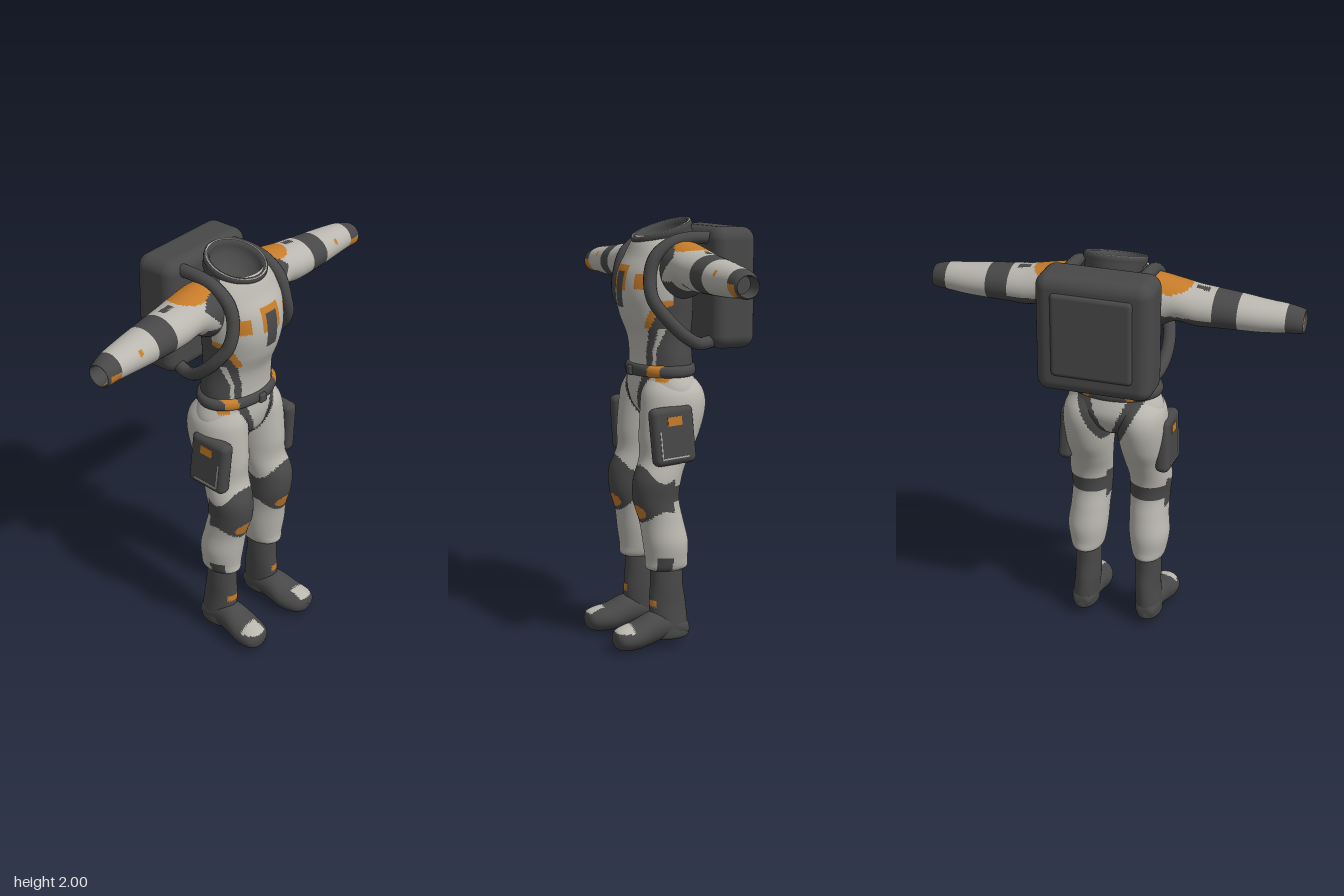
import * as THREE from 'three';
import { RoundedBoxGeometry } from 'three/addons/geometries/RoundedBoxGeometry.js';

const mat = (name, color) => {
  const m = new THREE.MeshStandardMaterial({ color });
  m.name = name;
  return m;
};

// Smooth loft through elliptical sections [t, centre1, centre2, radius1, radius2] along one axis.
function loft(axis, keys, around, steps) {
  const pos = [], idx = [], last = keys.length - 1;
  const key = (i) => keys[Math.min(last, Math.max(0, i))];
  const rows = last * steps;
  for (let i = 0; i <= rows; i++) {
    const k = Math.min(last - 1, Math.floor(i / steps)), u = i / steps - k;
    const [t, c1, c2, r1, r2] = key(k).map((p1, n) => {
      const p0 = key(k - 1)[n], p2 = key(k + 1)[n], p3 = key(k + 2)[n];
      return p1 + 0.5 * u * (p2 - p0 + u * (2 * p0 - 5 * p1 + 4 * p2 - p3 + u * (3 * (p1 - p2) + p3 - p0)));
    });
    for (let j = 0; j < around; j++) {
      const a = (j / around) * Math.PI * 2, c = Math.cos(a), s = Math.sin(a);
      if (axis === 'x') pos.push(t, c1 + r1 * c, c2 + r2 * s);
      if (axis === 'y') pos.push(c1 + r1 * s, t, c2 + r2 * c);
      if (axis === 'z') pos.push(c1 + r1 * c, c2 + r2 * s, t);
      if (i === rows) continue;
      const A = i * around + j, B = i * around + (j + 1) % around;
      idx.push(A, B, A + around, B, B + around, A + around);
    }
  }
  const g = new THREE.BufferGeometry();
  g.setAttribute('position', new THREE.Float32BufferAttribute(pos, 3));
  g.setIndex(idx);
  g.computeVertexNormals();
  return g;
}

// Sort faces into colour groups by a rule on the face centre; -1 leaves an opening.
function paint(g, rule) {
  const p = g.attributes.position, old = g.index.array, sets = [[], [], []];
  for (let i = 0; i < old.length; i += 3) {
    const t = [old[i], old[i + 1], old[i + 2]];
    const mid = (f) => (p[f](t[0]) + p[f](t[1]) + p[f](t[2])) / 3;
    const c = rule(mid('getX'), mid('getY'), mid('getZ'));
    if (c >= 0) sets[c].push(...t);
  }
  g.setIndex(sets.flat());
  let start = 0;
  sets.forEach((s, c) => { g.addGroup(start, s.length, c); start += s.length; });
  return g;
}

function mirrored(g) {
  const m = g.clone().scale(-1, 1, 1), a = m.index.array;
  for (let i = 0; i < a.length; i += 3) [a[i], a[i + 1]] = [a[i + 1], a[i]];
  m.computeVertexNormals();
  return m;
}

const L = 0, D = 1, O = 2; // light, dark, orange
const within = (v, a, b) => v > a && v < b;

function torsoRule(x, y, z) {
  const ax = Math.abs(x);
  if (ax > 0.12 && Math.hypot(y - 1.75, z - 0.02) < 0.065) return -1; // sleeve opening
  if (z < 0.06) return D;
  if (ax < 0.035 && within(y, 1.59, 1.755)) return D;
  if (ax < 0.057 && within(y, 1.67, 1.785)) return O;
  if (within(ax, 0.11, 0.165) && within(y, 1.68, 1.75)) return O;
  if (within(y, 1.5, 1.63) && Math.abs(ax - 0.13 - (y - 1.5) * 0.5) < 0.012) return O;
  if (y < 1.5) {
    const lean = Math.max(0, y - 1.4) * 0.3;
    return within(ax - lean, 0.105, 0.135) || ax - lean > 0.15 ? D : L;
  }
  return y < 1.65 && ax > 0.142 + (y - 1.5) * 0.5 ? D : L;
}

function armRule(x, y, z) {
  if (x > 0.8) return z > 0.035 && x < 0.862 && y < 1.755 ? O : D;
  if (within(x, 0.48, 0.59)) return D;
  if (z > 0 && Math.hypot(x - 0.68, y - 1.79) < 0.013) return O;
  if (y > 1.82 && Math.hypot((x - 0.27) / 0.1, (z + 0.01) / 0.088) < 1) return O;
  if (y > 1.82 && within(x, 0.39, 0.45) && Math.abs(z + 0.01) < 0.018) return D;
  if (z > 0 && x < 0.29 - Math.abs(y - 1.83) * 0.9) return D;
  return (z < 0 && y < 1.74 && x < 0.5) || (x < 0.27 && y < 1.72) ? D : L;
}

function hipRule(x, y, z) {
  const ax = Math.abs(x), h = y - 1.07;
  if (z > 0.05 && y > 1.255 && within(ax, 0.16, 0.2)) return O;
  const outer = 0.03 + 0.5 * h + (z < 0.03 ? 0.03 : 0);
  return y > 1.045 && ax > 0.43 * h && ax < outer ? D : L;
}

function legRule(x, y, z) {
  if (z > 0.1 && Math.hypot((x - 0.15) / 0.055, (y - 0.652) / 0.034) < 1) return O;
  if (within(y, 0.7, 0.775)) return D;
  if (z > 0.07 && Math.hypot((x - 0.15) / 0.115, (y - 0.735) / 0.135) < 1) return D;
  if (y < 0.435 && x > 0.19 && within(z, 0.08, 0.15)) return D;
  return hipRule(x, y, z);
}

export function createModel() {
  const light = mat('light fabric', 0xbab7b0), dark = mat('dark rubber', 0x484848), orange = mat('orange accent', 0xc67c2a);
  const all = [light, dark, orange], model = new THREE.Group();
  const add = (name, geo, material, parent = model) => {
    const m = new THREE.Mesh(geo, material);
    m.name = name;
    parent.add(m);
    return m;
  };
  const pair = (name, geo, material) => {
    add('left ' + name, geo, material);
    add('right ' + name, mirrored(geo), material);
  };

  // Torso and hips
  add('torso', paint(loft('y', [
    [1.27, 0, 0.04, 0.2, 0.142], [1.35, 0, 0.037, 0.195, 0.138], [1.45, 0, 0.045, 0.182, 0.143],
    [1.55, 0, 0.06, 0.187, 0.168], [1.65, 0, 0.069, 0.2, 0.178], [1.75, 0, 0.065, 0.205, 0.17],
    [1.83, 0, 0.045, 0.2, 0.15], [1.88, 0, 0.035, 0.17, 0.138], [1.92, 0, 0.03, 0.13, 0.12],
  ], 112, 12), torsoRule), all);
  add('hips', paint(loft('y', [
    [1.055, 0, 0.04, 0.001, 0.001], [1.065, 0, 0.04, 0.04, 0.06], [1.12, 0, 0.035, 0.15, 0.125],
    [1.2, 0, 0.03, 0.232, 0.152], [1.29, 0, 0.04, 0.2, 0.14],
  ], 96, 10), hipRule), all);
  add('belt', paint(loft('y', [
    [1.27, 0, 0.04, 0.195, 0.135], [1.28, 0, 0.04, 0.218, 0.149], [1.3, 0, 0.04, 0.224, 0.153],
    [1.32, 0, 0.04, 0.216, 0.147], [1.33, 0, 0.04, 0.19, 0.13],
  ], 96, 4), (x, y, z) => (within(Math.abs(x), z > 0 ? 0.13 : 0.09, z > 0 ? 0.185 : 0.125) ? O : D)), all);
  add('buckle', new RoundedBoxGeometry(0.045, 0.045, 0.03, 3, 0.01), dark).position.set(0, 1.295, 0.19);

  // Sleeves with open, lined cuffs
  pair('sleeve', paint(loft('x', [
    [0.13, 1.765, 0, 0.12, 0.11], [0.2, 1.768, 0, 0.13, 0.125], [0.3, 1.785, 0, 0.096, 0.115],
    [0.4, 1.77, 0, 0.092, 0.112], [0.5, 1.765, 0.003, 0.086, 0.106], [0.6, 1.76, 0.005, 0.08, 0.097],
    [0.7, 1.755, 0.006, 0.073, 0.085], [0.8, 1.753, 0.012, 0.064, 0.072], [0.865, 1.745, 0.02, 0.055, 0.06],
    [0.87, 1.745, 0.02, 0.045, 0.05], [0.8, 1.75, 0.02, 0.042, 0.046],
  ], 56, 10), armRule), all);

  // Trouser legs
  pair('trouser leg', paint(loft('y', [
    [0.365, 0.155, 0.075, 0.058, 0.08], [0.38, 0.157, 0.076, 0.076, 0.102], [0.42, 0.157, 0.077, 0.088, 0.102],
    [0.5, 0.157, 0.082, 0.099, 0.108], [0.6, 0.15, 0.1, 0.096, 0.105], [0.7, 0.147, 0.125, 0.098, 0.11],
    [0.8, 0.15, 0.12, 0.104, 0.115], [0.9, 0.138, 0.082, 0.106, 0.117], [1.0, 0.134, 0.055, 0.114, 0.144],
    [1.12, 0.13, 0.033, 0.122, 0.157], [1.2, 0.122, 0.03, 0.118, 0.15], [1.26, 0.11, 0.035, 0.09, 0.12],
  ], 64, 12), legRule), all);

  // Boots
  pair('boot shaft', paint(loft('y', [
    [0.035, 0.166, 0.068, 0.001, 0.001], [0.04, 0.166, 0.066, 0.058, 0.09], [0.1, 0.164, 0.066, 0.064, 0.091],
    [0.2, 0.156, 0.072, 0.063, 0.09], [0.3, 0.155, 0.076, 0.064, 0.079], [0.42, 0.155, 0.076, 0.06, 0.078],
  ], 48, 8), (x, y, z) => (z > 0.1 && within(y, 0.192, 0.222) && Math.abs(x - 0.165) < 0.03 ? O : D)), all);
  pair('boot foot', paint(loft('z', [
    [-0.028, 0.165, 0.075, 0.001, 0.001], [-0.02, 0.165, 0.078, 0.04, 0.035], [0.03, 0.165, 0.09, 0.062, 0.053],
    [0.09, 0.163, 0.1, 0.066, 0.066], [0.16, 0.166, 0.092, 0.074, 0.076], [0.24, 0.172, 0.067, 0.085, 0.066],
    [0.31, 0.18, 0.058, 0.076, 0.056], [0.345, 0.183, 0.058, 0.048, 0.038], [0.355, 0.184, 0.058, 0.001, 0.001],
  ], 48, 6), (x, y, z) => (z > 0.27 && y > 0.093 && x > 0.145 ? L : D)), all);

  // Neck ring with a lined bowl
  const neck = new THREE.Group();
  neck.name = 'neck ring';
  neck.position.set(0, 1.95, 0.035);
  neck.rotation.x = 0.32;
  model.add(neck);
  const profile = [[0.125, -0.085], [0.14, -0.06], [0.136, -0.04], [0.147, -0.02], [0.147, -0.004], [0.14, 0.002],
    [0.126, 0], [0.118, -0.02], [0.112, -0.06], [0.06, -0.095], [0.001, -0.105]];
  add('collar', new THREE.LatheGeometry(profile.map((p) => new THREE.Vector2(...p)), 64), dark, neck);
  const rim = add('rim', new THREE.TorusGeometry(0.138, 0.004, 8, 64), light, neck);
  rim.rotation.x = Math.PI / 2;

  // Backpack and shoulder straps
  add('backpack', new RoundedBoxGeometry(0.54, 0.56, 0.22, 6, 0.06), dark).position.set(0, 1.68, -0.225);
  add('backpack panel', new RoundedBoxGeometry(0.38, 0.4, 0.05, 5, 0.022), dark).position.set(0, 1.69, -0.325);
  const strapPath = new THREE.CatmullRomCurve3([
    [0.175, 1.91, -0.14], [0.178, 1.91, -0.03], [0.178, 1.89, 0.06], [0.178, 1.83, 0.14], [0.183, 1.74, 0.17],
    [0.208, 1.64, 0.165], [0.235, 1.55, 0.105], [0.238, 1.47, 0.02], [0.222, 1.43, -0.06], [0.2, 1.44, -0.15],
  ].map((p) => new THREE.Vector3(...p)));
  pair('shoulder strap', new THREE.TubeGeometry(strapPath, 72, 0.03, 14), dark);

  // Thigh pouches with trim and tab
  for (const s of [1, -1]) {
    const pouch = new THREE.Group();
    pouch.name = s > 0 ? 'left thigh pouch' : 'right thigh pouch';
    pouch.position.set(s * 0.238, 1.015, 0.083);
    pouch.rotation.set(0.08, 0, s * 0.04);
    model.add(pouch);
    add('pouch body', new RoundedBoxGeometry(0.07, 0.27, 0.21, 5, 0.03), dark, pouch);
    const plate = (name, h, w, y, z, m) => add(name, new THREE.BoxGeometry(0.006, h, w), m, pouch).position.set(s * 0.035, y, z);
    plate('pouch tab', 0.042, 0.07, 0.07, -0.005, orange);
    plate('pouch trim bottom', 0.007, 0.13, -0.1, 0.005, light);
    plate('pouch trim front', 0.13, 0.006, -0.035, 0.07, light);
  }
  return model;
}
